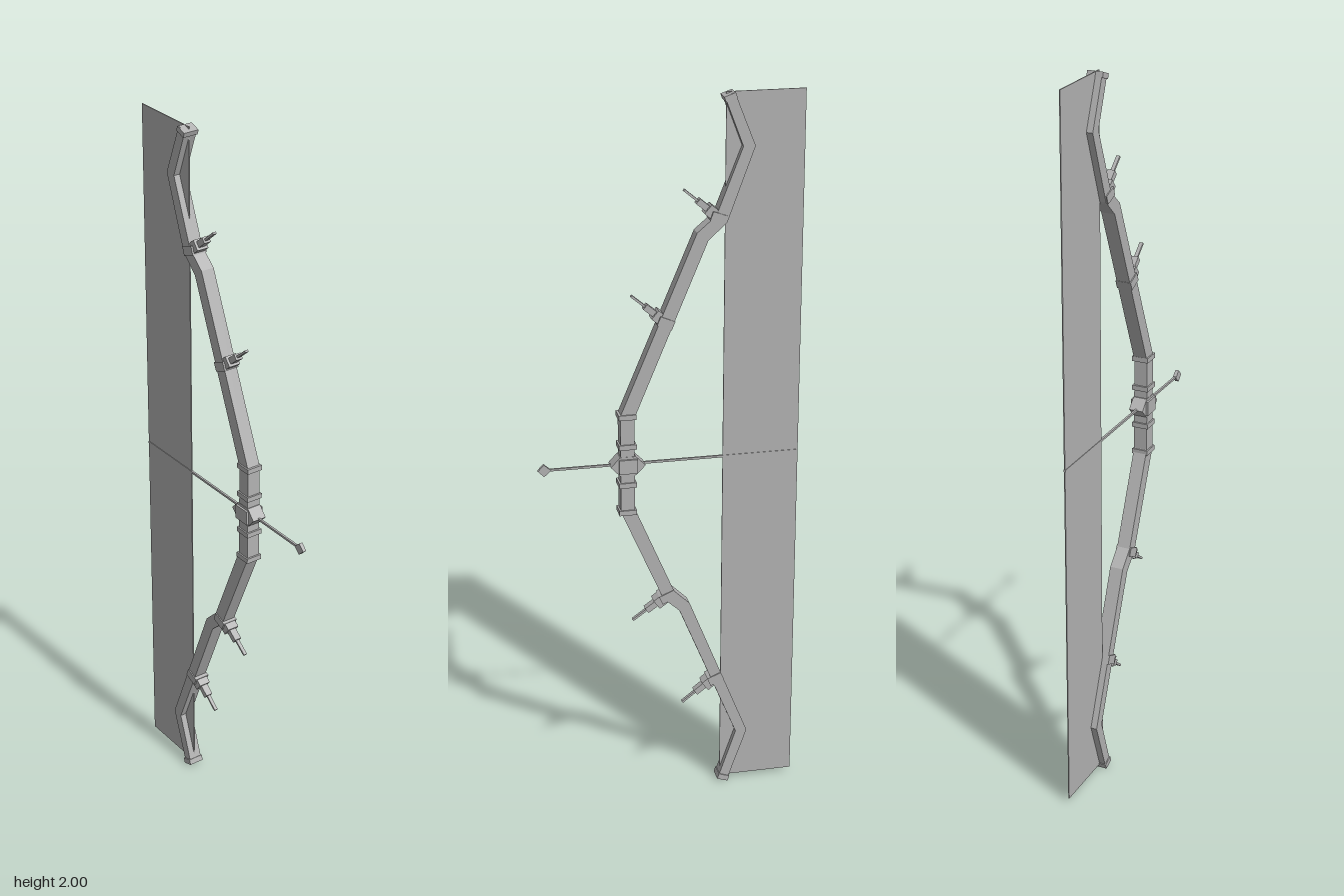
import * as THREE from 'three';

const grey = new THREE.MeshStandardMaterial({ color: 0xb2b2b2 });
grey.name = 'grey';

function add(parent, name, geometry, x = 0, y = 0, angle = 0) {
  const mesh = new THREE.Mesh(geometry, grey);
  mesh.name = name;
  mesh.position.set(x, y, 0);
  mesh.rotation.z = angle;
  parent.add(mesh);
  return mesh;
}

const box = (w, h, d) => new THREE.BoxGeometry(w, h, d);

// Flat outline in the xy plane, extruded evenly to both sides of z = 0
function slab(points, depth) {
  const shape = new THREE.Shape(points.map(([x, y]) => new THREE.Vector2(x, y)));
  const geometry = new THREE.ExtrudeGeometry(shape, { depth, bevelEnabled: false });
  return geometry.translate(0, 0, -depth / 2);
}

// Outline of a bent bar with mitred corners; each point is [x, y, width]
function barOutline(path) {
  const right = [], left = [];
  path.forEach(([x, y, width], i) => {
    const p = new THREE.Vector2(x, y);
    const normals = [];
    for (const [a, b] of [[i - 1, i], [i, i + 1]]) {
      if (!path[a] || !path[b]) continue;
      const dx = path[b][0] - path[a][0], dy = path[b][1] - path[a][1];
      normals.push(new THREE.Vector2(dy, -dx).normalize());
    }
    const m = normals[0].clone().add(normals[normals.length - 1]).normalize();
    m.multiplyScalar(width / 2 / m.dot(normals[0]));
    right.push([p.x + m.x, p.y + m.y]);
    left.unshift([p.x - m.x, p.y - m.y]);
  });
  return [...right, ...left];
}

// Stepped spike with a collar round the limb
function addSpike(parent, x, y, angle, limbAngle) {
  const spike = new THREE.Group();
  spike.name = 'spike';
  spike.position.set(x, y, 0);
  spike.rotation.z = angle;
  add(spike, 'spikeBase', box(0.045, 0.03, 0.034), 0.015, 0);
  add(spike, 'spikeMiddle', box(0.04, 0.017, 0.02), 0.05, 0);
  add(spike, 'spikePoint', box(0.05, 0.006, 0.01), 0.092, 0);
  parent.add(spike);
  add(parent, 'spikeCollar', box(0.042, 0.025, 0.044), x, y, limbAngle);
}

export function createModel() {
  const model = new THREE.Group();
  model.name = 'bow';

  // Bow body: lower limb, grip and upper limb
  const path = [
    [-0.153, 0.008, 0.028], [-0.206, 0.16, 0.03], [-0.04, 0.57, 0.034],
    [0.005, 0.612, 0.036], [0.117, 0.875, 0.038], [0.117, 1.145, 0.038],
    [-0.085, 1.628, 0.036], [-0.135, 1.672, 0.034], [-0.206, 1.86, 0.03],
    [-0.153, 1.995, 0.028],
  ];
  add(model, 'bowBody', slab(barOutline(path), 0.038));

  // End caps
  add(model, 'lowerEndCap', box(0.032, 0.016, 0.044), -0.155, 0.013, 0.33);
  add(model, 'upperEndCap', box(0.032, 0.014, 0.044), -0.155, 1.988, -0.33);

  // Bands round the grip
  for (const y of [0.87, 0.95, 1.06, 1.145]) {
    add(model, 'gripBand', box(0.048, 0.014, 0.046), 0.117, y);
  }

  // Faceted hub
  const hub = [[0.068, 1.005], [0.095, 0.978], [0.138, 0.978], [0.163, 1.005], [0.138, 1.032], [0.095, 1.032]];
  add(model, 'hub', slab(hub, 0.04));
  add(model, 'hubPlate', box(0.05, 0.04, 0.052), 0.116, 1.005);

  // Spikes on the outer side of the limbs
  addSpike(model, -0.128, 1.675, 0.7, 0.35);
  addSpike(model, 0.012, 1.4, 0.7, 0.4);
  addSpike(model, 0.008, 0.605, -0.62, -0.4);
  addSpike(model, -0.13, 0.335, -0.66, -0.39);

  // Broad string panel
  add(model, 'stringPanel', box(0.21, 1.988, 0.003), -0.253, 1.005);

  // Arrow
  add(model, 'arrowShaft', box(0.69, 0.006, 0.006), -0.013, 1.005);
  add(model, 'arrowHead', slab([[0.322, 1.005], [0.341, 0.988], [0.358, 1.005], [0.341, 1.022]], 0.01));

  return model;
}
